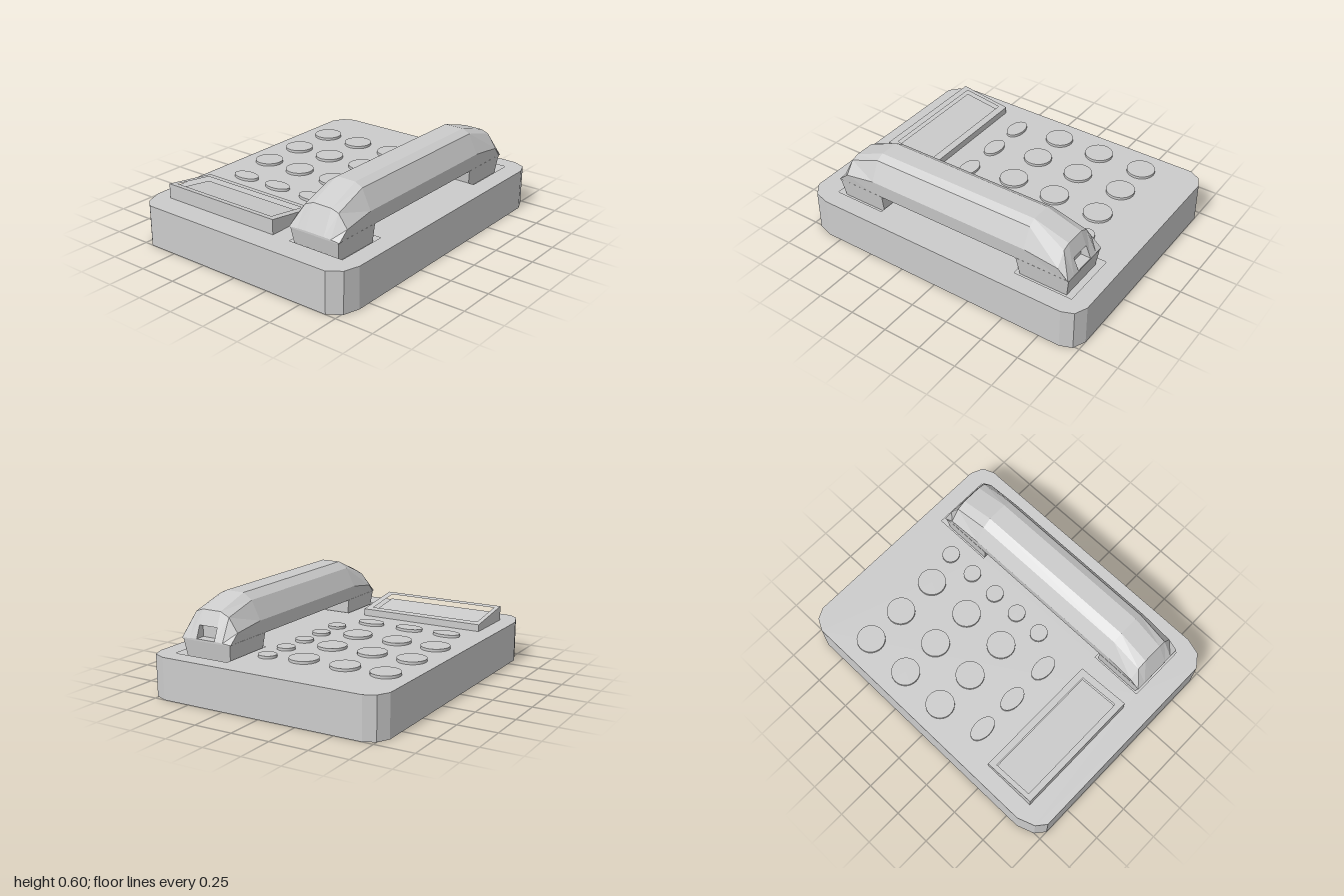
import * as THREE from 'three';

const mat = new THREE.MeshStandardMaterial({ color: 0xcccccc, flatShading: true });
const smooth = new THREE.MeshStandardMaterial({ color: 0xcccccc });
const floorY = 0.23, topY = 0.265;

// x/z rectangle as corner points
const rect = (x0, x1, z0, z1) => [[x0, z0], [x1, z0], [x1, z1], [x0, z1]];

// upright extrusion of an x/z outline, with optional holes
function slab(points, y, h, holes = []) {
  const toV = p => p.map(([x, z]) => new THREE.Vector2(x, -z));
  const shape = new THREE.Shape(toV(points));
  holes.forEach(o => shape.holes.push(new THREE.Path(toV(o))));
  const g = new THREE.ExtrudeGeometry(shape, { depth: h, bevelEnabled: false });
  return g.rotateX(-Math.PI / 2).translate(0, y, 0);
}

// move the upper vertices of a geometry onto the tilted display plane
function tilt(g, drop) {
  const p = g.attributes.position;
  for (let i = 0; i < p.count; i++) {
    if (p.getY(i) > topY + 0.001) p.setY(i, 0.31 + (-0.49 - p.getX(i)) / 0.35 * 0.05 - drop);
  }
  g.computeVertexNormals();
  return g;
}

// handset shell lofted along x, with a cord socket cut in the +x end
function handsetGeometry() {
  const ring = [[0.3, 0.35], [0.29, 0.44], [0.35, 0.56], [0.41, 0.6],
    [0.54, 0.6], [0.59, 0.575], [0.65, 0.45], [0.64, 0.35]];
  const stations = [[-0.84, 0.05], [-0.77, 0.64], [-0.56, 1], [0.55, 1], [0.78, 0.72], [0.85, 0.048]];
  const sections = stations.map(([x, s]) => ring.map(([z, y]) => [x, 0.35 + (y - 0.35) * s, z]));
  const pos = [];
  const quad = (a, b, c, d) => pos.push(...a, ...b, ...c, ...a, ...c, ...d);
  const n = ring.length, last = sections.length - 1;
  for (let s = 0; s < last; s++) {
    for (let i = 0; i < n; i++) {
      if (s === last - 1 && i === 3) continue; // left open for the socket
      const j = (i + 1) % n;
      quad(sections[s][i], sections[s][j], sections[s + 1][j], sections[s + 1][i]);
    }
  }
  // end caps
  for (let i = 1; i < n - 1; i++) {
    const a = sections[0], b = sections[last];
    pos.push(...a[0], ...a[i + 1], ...a[i], ...b[0], ...b[i], ...b[i + 1]);
  }
  // socket: slope above it, ceiling, back, floor, then the two sides
  const path = [[0.78, 0.53], [0.8175, 0.44], [0.785, 0.44], [0.785, 0.362], [0.85, 0.362]];
  const at = (p, z) => [p[0], p[1], z];
  for (let k = 0; k < path.length - 1; k++) {
    quad(at(path[k], 0.41), at(path[k], 0.54), at(path[k + 1], 0.54), at(path[k + 1], 0.41));
  }
  const side = path.slice(1);
  quad(...side.map(p => at(p, 0.41)));
  quad(...side.map(p => at(p, 0.54)).reverse());
  const g = new THREE.BufferGeometry();
  g.setAttribute('position', new THREE.Float32BufferAttribute(pos, 3));
  g.computeVertexNormals();
  return g;
}

// tapered foot: [x0, x1] at the top and at the bottom
function footGeometry(top, bottom) {
  const g = new THREE.BoxGeometry(1, 1, 1);
  const p = g.attributes.position;
  for (let i = 0; i < p.count; i++) {
    const up = p.getY(i) > 0;
    const zs = up ? [0.298, 0.641] : [0.31, 0.625];
    p.setXYZ(i, (up ? top : bottom)[p.getX(i) > 0 ? 1 : 0], up ? 0.352 : floorY, zs[p.getZ(i) > 0 ? 1 : 0]);
  }
  g.computeVertexNormals();
  return g;
}

export function createModel() {
  const root = new THREE.Group();
  const add = (name, geometry, parent = root, material = mat) => {
    const m = new THREE.Mesh(geometry, material);
    m.name = name;
    parent.add(m);
    return m;
  };

  // body with faceted corners and two cradle wells
  const outline = [[-1, -0.69], [-0.95, -0.75], [-0.84, -0.79], [0.89, -0.79], [0.965, -0.75], [1, -0.68],
    [1, 0.68], [0.965, 0.76], [0.89, 0.79], [-0.84, 0.79], [-0.94, 0.76], [-1, 0.68]];
  const wells = [rect(-0.84, -0.49, 0.29, 0.67), rect(0.5, 0.89, 0.29, 0.67)];
  add('bodyLower', slab(outline, 0, floorY));
  add('bodyUpper', slab(outline, floorY, topY - floorY, wells));

  // tilted display
  const display = new THREE.Group();
  display.name = 'display';
  root.add(display);
  const opening = rect(-0.8, -0.535, -0.65, 0.12);
  add('displayFrame', tilt(slab(rect(-0.84, -0.49, -0.68, 0.165), topY, 0.05, [opening]), 0), display);
  add('displayScreen', tilt(slab(opening, topY, 0.05), 0.03), display);

  // buttons
  const buttons = new THREE.Group();
  buttons.name = 'buttons';
  root.add(buttons);
  const disc = new THREE.CylinderGeometry(1, 1, 0.02, 32);
  const button = (name, x, z, rx, rz) => {
    const b = add(name, disc, buttons, smooth);
    b.position.set(x, 0.272, z);
    b.scale.set(rx, 1, rz);
  };
  for (const z of [-0.612, -0.347, -0.067]) {
    for (const x of [-0.005, 0.303, 0.618]) button('numberButton', x, z, 0.091, 0.091);
  }
  for (const z of [-0.54, -0.275, 0.005]) button('ovalButton', -0.305, z, 0.055, 0.091);
  for (const x of [-0.122, 0.073, 0.268, 0.472, 0.668]) button('smallButton', x, 0.158, 0.055, 0.058);

  // handset resting in the wells
  const handset = new THREE.Group();
  handset.name = 'handset';
  root.add(handset);
  add('handsetShell', handsetGeometry(), handset);
  add('mouthpiece', footGeometry([-0.838, -0.505], [-0.815, -0.505]), handset);
  add('earpiece', footGeometry([0.49, 0.848], [0.51, 0.83]), handset);

  return root;
}
